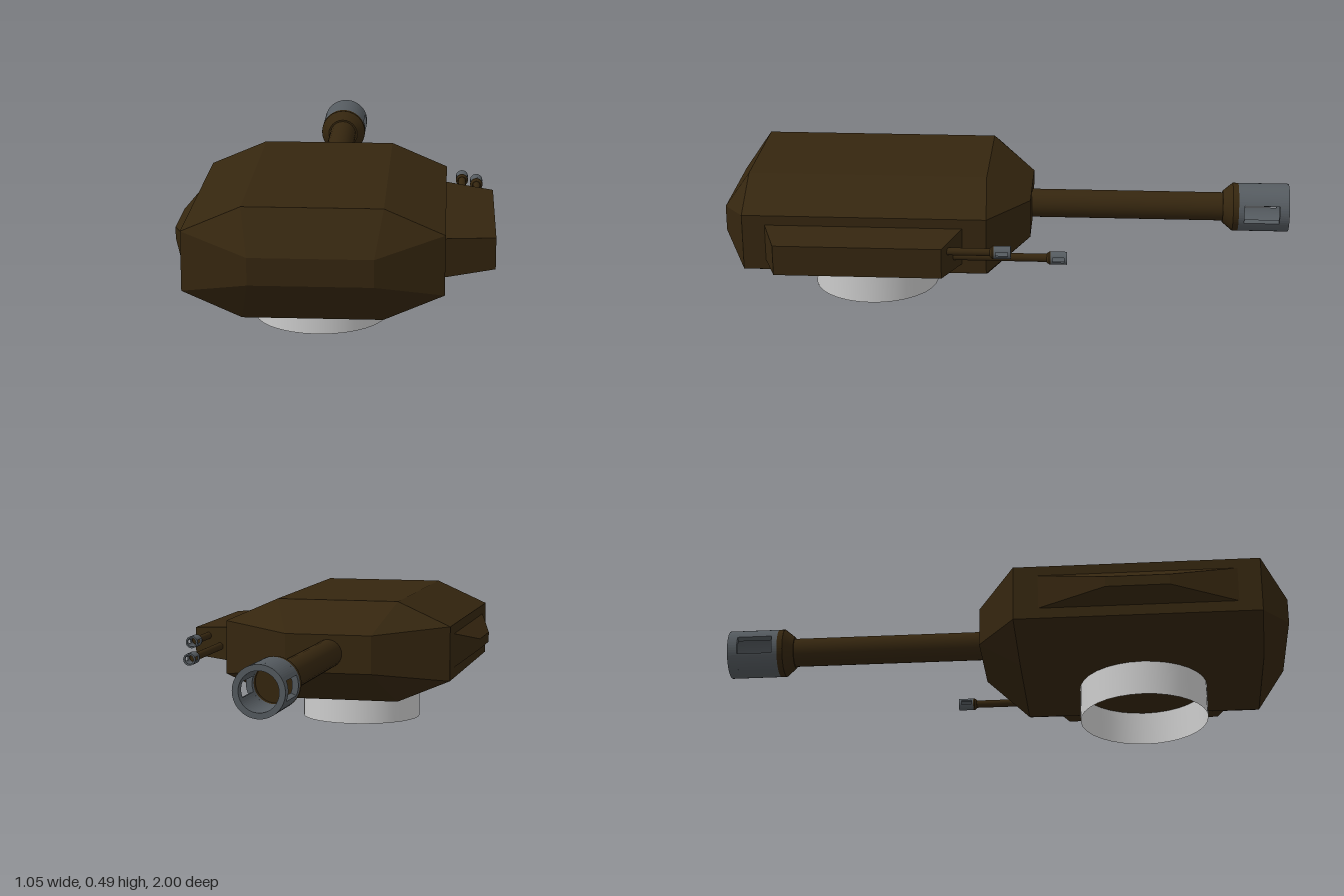
import * as THREE from 'three';
import { ConvexGeometry } from 'three/addons/geometries/ConvexGeometry.js';

const brown = new THREE.MeshStandardMaterial({ name: 'dark brown paint', color: 0x35260f });
const steel = new THREE.MeshStandardMaterial({ name: 'gun steel', color: 0x555b60 });
const pale = new THREE.MeshStandardMaterial({ name: 'pale ring metal', color: 0xcccccc, side: THREE.DoubleSide });

const CX = -0.053; // centre line of turret, ring and main gun

export function createModel() {
  const group = new THREE.Group();
  const add = (name, geometry, material, parent = group) => {
    const mesh = new THREE.Mesh(geometry, material);
    mesh.name = name;
    parent.add(mesh);
    return mesh;
  };

  // Faceted solid from box corner sets: each entry is [x0, x1, y0, y1, z0, z1]
  const hull = (...boxes) => {
    const points = [];
    for (const [x0, x1, y0, y1, z0, z1] of boxes)
      for (const x of new Set([x0, x1]))
        for (const y of [y0, y1])
          for (const z of new Set([z0, z1])) points.push(new THREE.Vector3(x, y, z));
    return new ConvexGeometry(points);
  };

  // Turret shell with bevels on every side
  add('turretBody', hull(
    [CX - 0.224, CX + 0.224, 0.122, 0.487, 0.07, 0.905],
    [CX - 0.417, CX + 0.417, 0.205, 0.402, 0.06, 0.9],
    [CX - 0.198, CX + 0.198, 0.26, 0.35, 1, 1],
    [CX - 0.157, CX + 0.157, 0.24, 0.378, -0.08, -0.08],
  ), brown);

  // Side pods
  add('leftGunPod', hull(
    [0.34, 0.364, 0.24, 0.368, 0.143, 0.822],
    [0.525, 0.525, 0.252, 0.357, 0.2, 0.768],
  ), brown);
  add('rightSideBulge', hull(
    [-0.47, -0.45, 0.243, 0.367, 0.145, 0.822],
    [-0.53, -0.53, 0.285, 0.322, 0.375, 0.592],
  ), brown);

  // Open turret ring
  const ring = add('turretRing', new THREE.CylinderGeometry(0.224, 0.224, 0.124, 32, 1, true), pale);
  ring.position.set(CX, 0.062, 0.49);

  // Curved wall between two angles, from z0 to z1
  const wall = (outer, inner, a0, a1, z0, z1) => {
    const shape = new THREE.Shape();
    shape.absarc(0, 0, outer, a0, a1, false);
    shape.absarc(0, 0, inner, a1, a0, true);
    const geometry = new THREE.ExtrudeGeometry(shape, { depth: z1 - z0, bevelEnabled: false, curveSegments: 14 });
    return geometry.translate(0, 0, z0);
  };

  // Gun pointing along -z: barrel, flared collar and slotted muzzle brake.
  // Stations run start, flare, collar, brake, slot0, slot1, tip.
  const gun = (name, x, y, barrelR, muzzleR, innerR, stations) => {
    const [start, flare, collar, brake, slot0, slot1, tip] = stations;
    const g = new THREE.Group();
    g.name = name;
    g.position.set(x, y, 0);
    group.add(g);
    const barrel = new THREE.CylinderGeometry(barrelR, barrelR, start - flare, 24);
    add('barrel', barrel.rotateX(Math.PI / 2).translate(0, 0, (start + flare) / 2), brown, g);
    const cone = new THREE.CylinderGeometry(barrelR * 1.12, muzzleR, flare - collar, 24);
    add('flare', cone.rotateX(Math.PI / 2).translate(0, 0, (flare + collar) / 2), brown, g);

    const slot = 0.39; // half angle of the side openings
    for (const a of [0, Math.PI]) {
      add('collar', wall(muzzleR, innerR, a, a + Math.PI, brake, collar), brown, g);
      add('brakeRear', wall(muzzleR, innerR, a, a + Math.PI, slot0, brake), steel, g);
      add('brakeBridge', wall(muzzleR, innerR, a + slot, a + Math.PI - slot, slot1, slot0), steel, g);
      add('brakeTip', wall(muzzleR, innerR, a, a + Math.PI, tip, slot1), steel, g);
    }
  };

  gun('mainGun', CX, 0.31, 0.051, 0.086, 0.066, [0, -0.765, -0.8, -0.82, -0.84, -0.965, -1]);
  gun('lowerSmallGun', 0.42, 0.292, 0.014, 0.022, 0.016, [0.2, -0.15, -0.158, -0.163, -0.17, -0.208, -0.218]);
  gun('upperSmallGun', 0.47, 0.329, 0.013, 0.022, 0.016, [0.25, 0.04, 0.032, 0.027, 0.02, -0.02, -0.03]);

  return group;
}
